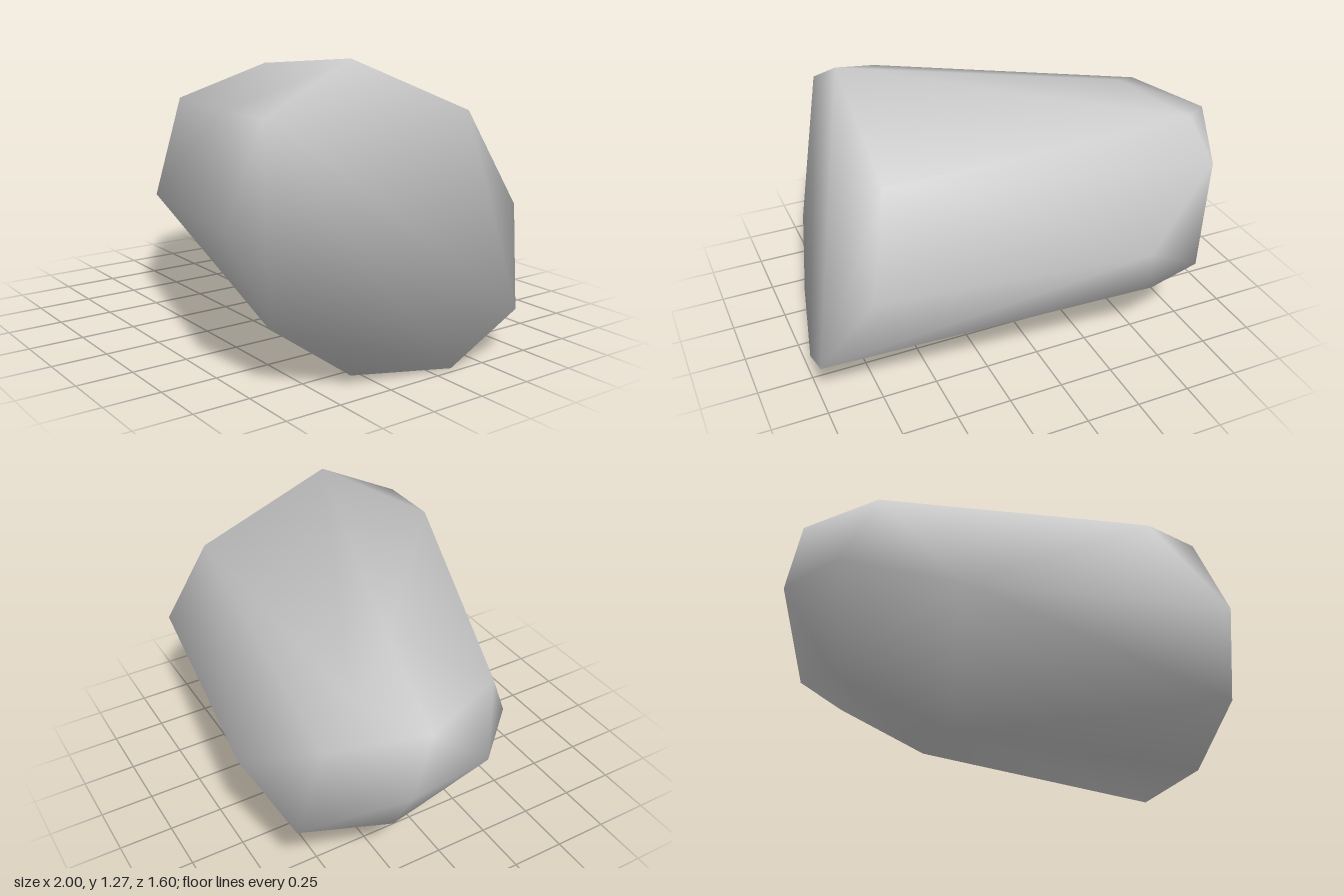
import * as THREE from 'three';
import { ConvexGeometry } from 'three/addons/geometries/ConvexGeometry.js';
import { mergeVertices } from 'three/addons/utils/BufferGeometryUtils.js';

// Corners around the broad, slanted end (+x)
const broadEnd = [
  [0.66, 1.275, 0.20], [0.66, 1.06, 0.61], [0.66, 0.65, 0.80],
  [0.77, 0.27, 0.67], [0.87, 0.04, 0.35], [0.97, 0.00, -0.10],
  [1.00, 0.20, -0.44], [0.80, 0.60, -0.62], [0.68, 1.02, -0.44],
];

// Corners along the flank and around the narrow, rounded end (-x)
const narrowEnd = [
  [0.36, 1.065, 0.61], [-0.54, 1.15, -0.18], [-0.75, 1.05, -0.46],
  [-0.98, 0.95, -0.23], [-0.83, 0.965, 0.16], [-1.00, 0.68, -0.33],
  [-0.95, 0.67, 0.07], [-0.58, 0.53, 0.44], [-0.76, 0.31, -0.26],
  [-0.30, 0.08, -0.02], [-0.22, 0.08, -0.35], [-0.50, 0.32, -0.65],
  [-0.70, 0.42, -0.69], [-0.39, 0.62, -0.795], [-0.79, 0.88, -0.61],
];

export function createModel() {
  const group = new THREE.Group();
  group.name = 'rock';
  const stone = new THREE.MeshStandardMaterial({ color: 0xc8c8c8 });
  stone.name = 'stone grey';

  // Faceted boulder with shared corners, so the shading runs smoothly over it
  const corners = [...broadEnd, ...narrowEnd].map((p) => new THREE.Vector3(...p));
  let geometry = new ConvexGeometry(corners);
  geometry.deleteAttribute('normal');
  geometry = mergeVertices(geometry, 1e-4);
  geometry.computeVertexNormals();

  const boulder = new THREE.Mesh(geometry, stone);
  boulder.name = 'boulder';
  group.add(boulder);
  return group;
}
